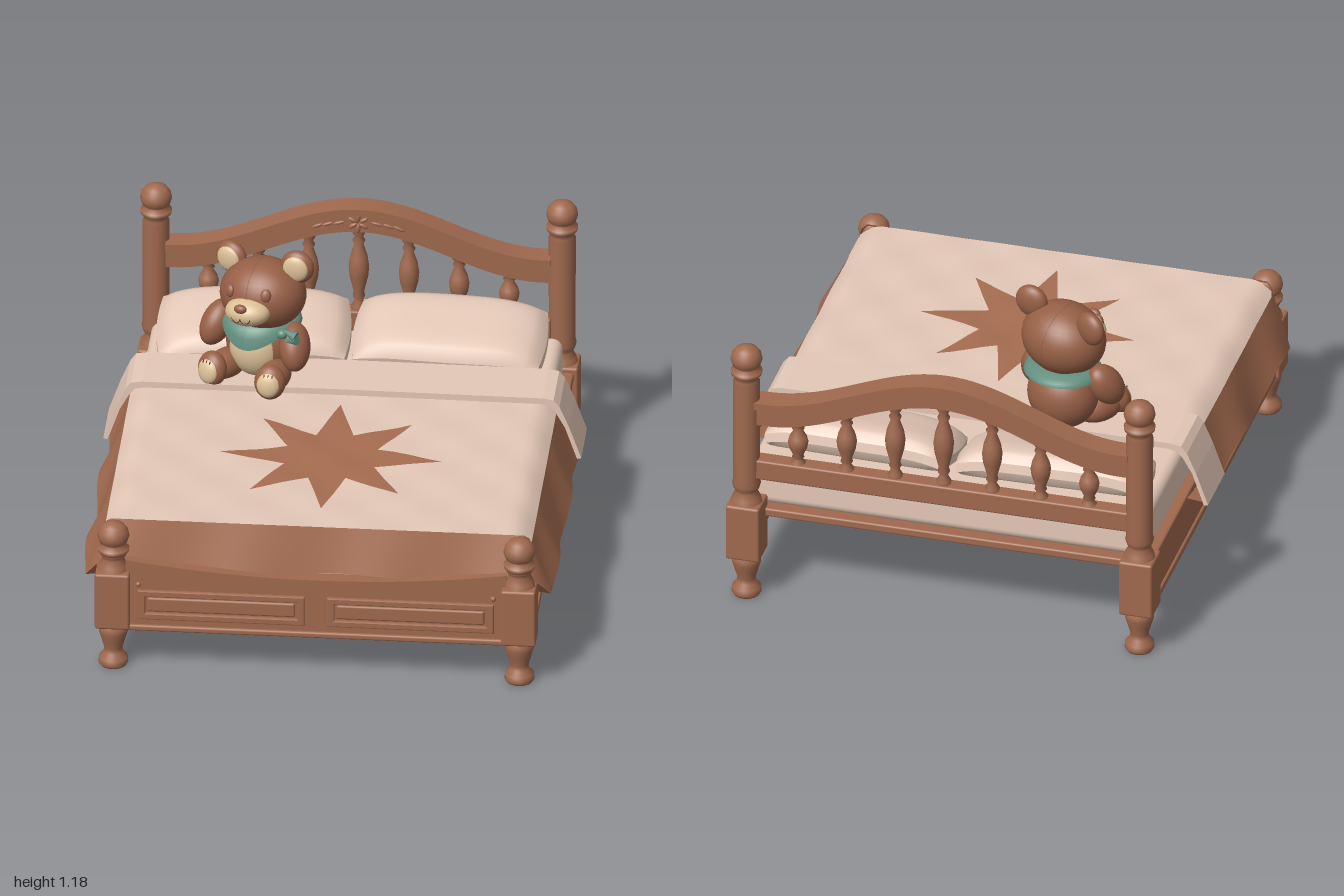
import * as THREE from 'three';
import { RoundedBoxGeometry } from 'three/addons/geometries/RoundedBoxGeometry.js';

const paint = (name, color, side = THREE.FrontSide) => {
  const m = new THREE.MeshStandardMaterial({ color, side });
  m.name = name;
  return m;
};

export function createModel() {
  const root = new THREE.Group();
  root.name = 'bedWithBear';
  const wood = paint('wood', 0xa0694e);
  const linen = paint('linen', 0xe4c8b7, THREE.DoubleSide);
  const quilt = paint('quiltBrown', 0xa66d50, THREE.DoubleSide);
  const fur = paint('fur', 0x965f45);
  const cream = paint('cream', 0xdcc097);
  const teal = paint('scarfTeal', 0x638f7f, THREE.DoubleSide);
  const dark = paint('stitching', 0x5a3727);

  // helpers
  const add = (parent, name, geo, mat, pos = [0, 0, 0], rot = [0, 0, 0]) => {
    const m = new THREE.Mesh(geo, mat);
    m.name = name;
    m.position.set(...pos);
    m.rotation.set(...rot);
    parent.add(m);
    return m;
  };
  const box = (name, size, pos, r = 0.008) =>
    add(root, name, new RoundedBoxGeometry(...size, 2, r), wood, pos);
  const ball = (parent, name, mat, pos, radii, rot) => {
    const m = add(parent, name, new THREE.SphereGeometry(1, 32, 20), mat, pos, rot);
    m.scale.set(...radii);
    return m;
  };
  const lathe = (pts, seg = 28) => new THREE.LatheGeometry(pts.map(p => new THREE.Vector2(...p)), seg);
  const surf = (fn, nu, nv) => {
    const g = new THREE.PlaneGeometry(1, 1, nu, nv);
    const { position, uv } = g.attributes;
    for (let i = 0; i < position.count; i++) position.setXYZ(i, ...fn(uv.getX(i), uv.getY(i)));
    g.computeVertexNormals();
    return g;
  };

  // posts: turned leg, square block, turned top with ball finial
  const leg = lathe([[0, 0], [0.05, 0], [0.058, 0.012], [0.056, 0.035], [0.038, 0.055], [0.036, 0.075],
    [0.046, 0.11], [0.056, 0.145], [0.056, 0.165], [0.045, 0.19]]);
  const finial = y => [[0.05, y - 0.075], [0.06, y - 0.065], [0.062, y - 0.05], [0.04, y - 0.038], [0.054, y - 0.025],
    [0.062, y], [0.057, y + 0.025], [0.042, y + 0.045], [0.02, y + 0.056], [0, y + 0.059]];
  const base = [[0.064, 0.41], [0.055, 0.44], [0.042, 0.465], [0.05, 0.48]];
  const shortTop = lathe([...base, [0.052, 0.485], ...finial(0.562)]);
  const tallTop = lathe([...base, [0.056, 0.5], [0.052, 0.52], [0.053, 0.96], [0.048, 0.97], ...finial(1.06)]);
  for (const x of [-0.79, 0.79]) {
    for (const z of [-0.93, 0.93]) {
      add(root, 'postLeg', leg, wood, [x, 0, z]);
      box('postBlock', [0.135, 0.24, 0.135], [x, 0.3, z], 0.01);
      add(root, 'postTop', z > 0 ? shortTop : tallTop, wood, [x, 0, z]);
    }
    // side rails with moulding
    const s = Math.sign(x);
    box('sideRail', [0.06, 0.22, 1.76], [s * 0.805, 0.29, 0]);
    box('railMoulding', [0.07, 0.03, 1.76], [s * 0.81, 0.198, 0]);
    box('railLip', [0.07, 0.035, 1.76], [s * 0.805, 0.382, 0]);
  }
  // raised bed base, open below and behind
  box('bedBase', [1.56, 0.035, 1.8], [0, 0.355, 0]);

  // footboard with dipped top edge and two framed panels
  const foot = new THREE.Shape();
  foot.moveTo(-0.74, 0.18);
  foot.lineTo(0.74, 0.18);
  foot.lineTo(0.74, 0.47);
  foot.quadraticCurveTo(0, 0.36, -0.74, 0.47);
  add(root, 'footboard', new THREE.ExtrudeGeometry(foot, { depth: 0.06, bevelEnabled: false, curveSegments: 24 }), wood, [0, 0, 0.9]);
  box('footMoulding', [1.48, 0.025, 0.085], [0, 0.18, 0.93]);
  const rect = (p, w, h) => {
    p.moveTo(-w, -h); p.lineTo(w, -h); p.lineTo(w, h); p.lineTo(-w, h); p.closePath();
    return p;
  };
  const frame = rect(new THREE.Shape(), 0.32, 0.058);
  frame.holes.push(rect(new THREE.Path(), 0.3, 0.04));
  const frameGeo = new THREE.ExtrudeGeometry(frame, { depth: 0.008, bevelSize: 0.005, bevelThickness: 0.005, bevelSegments: 2 });
  for (const s of [-1, 1]) {
    add(root, 'panelFrame', frameGeo, wood, [s * 0.368, 0.282, 0.96]);
    box('panelCentre', [0.575, 0.06, 0.016], [s * 0.368, 0.282, 0.96]);
    ball(root, 'peg', wood, [s * 0.69, 0.367, 0.96], [0.011, 0.011, 0.011]);
  }

  // headboard: arched rail with cap, lower rail and spindles
  const arch = x => 0.885 + (Math.abs(x) < 0.72 ? 0.188 * Math.cos(Math.PI * x / 1.44) ** 2 : 0);
  const archBand = (top, bottom, depth) => {
    const pts = [];
    for (let i = 0; i <= 48; i++) pts.push(new THREE.Vector2(-0.75 + i / 32, arch(-0.75 + i / 32) - bottom));
    for (let i = 48; i >= 0; i--) pts.push(new THREE.Vector2(-0.75 + i / 32, arch(-0.75 + i / 32) - top));
    return new THREE.ExtrudeGeometry(new THREE.Shape(pts), { depth, bevelEnabled: false });
  };
  add(root, 'headArch', archBand(0.02, 0.105, 0.07), wood, [0, 0, -0.955]);
  add(root, 'headCap', archBand(0, 0.028, 0.1), wood, [0, 0, -0.97]);
  box('headLowerRail', [1.5, 0.085, 0.07], [0, 0.575, -0.92]);
  for (let i = -3; i <= 3; i++) {
    const h = arch(i * 0.195) - 0.095 - 0.61;
    const prof = [[0.026, 0], [0.03, 0.05], [0.016, 0.12], [0.024, 0.17], [0.02, 0.22], [0.036, 0.4], [0.04, 0.52],
      [0.034, 0.64], [0.018, 0.78], [0.025, 0.83], [0.016, 0.87], [0.028, 0.94], [0.028, 1]].map(([r, t]) => [r, t * h]);
    add(root, 'spindle', lathe(prof, 20), wood, [i * 0.195, 0.61, -0.92]);
  }
  // carved rosette and scrolls
  for (let i = 0; i < 6; i++) {
    const a = i * Math.PI / 3 + Math.PI / 6;
    ball(root, 'rosettePetal', wood, [0.024 * Math.cos(a), 1.008 + 0.024 * Math.sin(a), -0.885], [0.02, 0.009, 0.009], [0, 0, a]);
  }
  for (const s of [-1, 1]) for (const x of [0.075, 0.12, 0.16])
    ball(root, 'carvedLeaf', wood, [s * x, arch(x) - 0.062, -0.885], [0.024, 0.007, 0.007], [0, 0, -s * (0.1 + x * 2)]);

  // mattress and plump pillows leaning on the headboard
  add(root, 'mattress', new RoundedBoxGeometry(1.6, 0.19, 1.74, 4, 0.04), linen, [0, 0.465, 0]);
  const pillow = new THREE.BoxGeometry(0.755, 0.15, 0.38, 28, 6, 20);
  const pp = pillow.attributes.position;
  for (let i = 0; i < pp.count; i++) {
    const u = pp.getX(i) / 0.3775, v = pp.getZ(i) / 0.19;
    const t = Math.sqrt((1 - u ** 4) * (1 - v ** 4));
    pp.setXYZ(i, pp.getX(i) * (1 - 0.05 * v * v), pp.getY(i) * (0.25 + 0.75 * t) - 0.03 * u ** 4, pp.getZ(i) * (1 - 0.09 * u * u));
  }
  pillow.computeVertexNormals();
  for (const s of [-1, 1]) add(root, 'pillow', pillow, linen, [s * 0.382 - 0.006, 0.646, -0.685], [0.25, -s * 0.04, 0]);

  // quilt: light top, brown skirt around three sides, star and turned-down fold
  const top = (x, z) => 0.608 - 0.048 * Math.max(0, (Math.abs(x) - 0.74) / 0.09) ** 2
    + 0.004 * Math.sin(x * 18) * Math.sin(z * 18);
  add(root, 'quiltTop', surf((u, v) => {
    const x = (u - 0.5) * 1.66, z = 0.88 - v * 1.3;
    return [x, top(x, z), z];
  }, 70, 56), linen);
  const rim = new THREE.Path();
  rim.moveTo(0.83, -0.42);
  rim.lineTo(0.83, 0.85);
  rim.absarc(0.8, 0.85, 0.03, 0, Math.PI / 2, false);
  rim.lineTo(-0.8, 0.88);
  rim.absarc(-0.8, 0.85, 0.03, Math.PI / 2, Math.PI, false);
  rim.lineTo(-0.83, -0.42);
  const skirt = (u, d, tuck) => {
    const p = rim.getPointAt(u), t = rim.getTangentAt(u);
    const front = Math.max(0, -t.x);
    const start = 0.56 + 0.048 * front;
    const sideHem = 0.362 + 0.024 * Math.cos((p.y - 0.63) * 11.4);
    const frontHem = 0.425 + 0.025 * (p.x / 0.8) ** 2 + 0.008 * Math.sin(p.x * 12);
    const hem = sideHem + (frontHem - sideHem) * front;
    const out = (d * (0.082 - 0.035 * front) + 0.01 * d * Math.sin((p.y - p.x * front) * 12)) * (1 - tuck);
    return [p.x + t.y * out, start + (hem - start) * d + 0.01 * tuck, p.y - t.x * out];
  };
  add(root, 'quiltSkirt', surf((u, v) => skirt(u, 1 - v, 0), 200, 8), quilt);
  add(root, 'quiltUnderside', surf((u, v) => skirt(u, 1, 1 - v), 200, 2), quilt);
  const starPoint = i => {
    const r = i % 2 ? 0.19 : i % 4 ? 0.41 : 0.43, a = i * Math.PI / 8;
    return [r * Math.sin(a), r * Math.cos(a)];
  };
  add(root, 'quiltStar', surf((u, v) => {
    const i = Math.min(15, Math.floor(u * 16 + 1e-6)), f = u * 16 - i, d = 1 - v;
    const a = starPoint(i), b = starPoint(i + 1);
    const x = d * (a[0] + (b[0] - a[0]) * f), z = 0.305 + d * (a[1] + (b[1] - a[1]) * f);
    return [x, top(x, z) + 0.005, z];
  }, 64, 14), quilt);
  const half = [[0.93, 0.385], [0.882, 0.52], [0.845, 0.605], [0.822, 0.633], [0.78, 0.64]];
  const outer = [...half, [0, 0.643], ...half.map(([x, y]) => [-x, y]).reverse()];
  const inner = outer.map(([x, y]) => [x * 0.982, y > 0.6 ? y - 0.025 : y - 0.004]).reverse();
  const foldShape = new THREE.Shape([...outer, ...inner].map(p => new THREE.Vector2(...p)));
  add(root, 'foldedSheet', new THREE.ExtrudeGeometry(foldShape, { depth: 0.245, bevelEnabled: false }), linen, [0, 0, -0.44]);

  // seated teddy bear
  const bear = new THREE.Group();
  bear.name = 'teddyBear';
  bear.position.set(-0.325, 0.615, -0.36);
  bear.rotation.y = -0.38;
  root.add(bear);
  ball(bear, 'body', fur, [0, 0.14, 0], [0.145, 0.14, 0.128]);
  ball(bear, 'belly', cream, [0, 0.14, 0.06], [0.105, 0.115, 0.085]);
  for (const s of [-1, 1]) {
    ball(bear, 'arm', fur, [s * 0.168, s < 0 ? 0.21 : 0.18, 0.055], [0.06, 0.098, 0.067], [-0.55, 0, s * 0.25]);
    ball(bear, 'leg', fur, [s * 0.105, 0.065, 0.1], [0.062, 0.06, 0.1], [0, s * 0.25, 0]);
    const paw = new THREE.Group();
    paw.name = 'foot';
    paw.position.set(s * 0.125, 0.075, 0.183);
    paw.rotation.set(-0.2, s * 0.2, 0);
    bear.add(paw);
    ball(paw, 'footPad', fur, [0, 0, 0], [0.062, 0.07, 0.045]);
    ball(paw, 'sole', cream, [0, -0.005, 0.025], [0.046, 0.052, 0.026]);
    for (const t of [-1, 0, 1]) ball(paw, 'toeStitch', dark, [t * 0.016, 0.032, 0.041], [0.002, 0.008, 0.004]);
  }

  // head
  const head = new THREE.Group();
  head.name = 'head';
  head.position.set(0.017, 0.37, 0.028);
  head.rotation.z = 0.08;
  bear.add(head);
  ball(head, 'skull', fur, [0, 0, 0], [0.174, 0.142, 0.148]);
  const seam = add(head, 'headSeam', new THREE.TorusGeometry(1, 0.014, 6, 48), fur, [0, 0, 0], [0, Math.PI / 2, 0]);
  seam.scale.set(0.147, 0.141, 0.15);
  ball(head, 'muzzle', cream, [0, -0.02, 0.135], [0.092, 0.056, 0.07]);
  ball(head, 'nose', fur, [0, 0.016, 0.194], [0.027, 0.018, 0.017]);
  for (const s of [-1, 1]) {
    ball(head, 'eye', fur, [s * 0.078, 0.052, 0.122], [0.021, 0.026, 0.014], [-0.3, s * 0.45, 0]);
    add(head, 'mouth', new THREE.TorusGeometry(0.02, 0.002, 6, 16, Math.PI), dark, [s * 0.02, -0.022, 0.201], [0, s * 0.25, Math.PI]);
    ball(head, 'ear', fur, [s * 0.143, 0.118, -0.03], [0.068, 0.068, 0.036], [0, s * 0.15, 0]);
    ball(head, 'innerEar', cream, [s * 0.146, 0.118, -0.008], [0.051, 0.052, 0.02], [0, s * 0.15, 0]);
  }

  // neckerchief, thin behind and pulled to a point in front, knotted at one side
  const scarf = lathe([[0.1, 0.278], [0.138, 0.27], [0.153, 0.258], [0.157, 0.242]], 48);
  const sp = scarf.attributes.position;
  for (let i = 0; i < sp.count; i++) {
    const x = sp.getX(i), y = sp.getY(i), z = sp.getZ(i);
    const w = Math.max(0, z / Math.hypot(x, z)) ** 3;
    sp.setXYZ(i, x, y - w * (0.278 - y) * 1.9, z * (z > 0 ? 1.04 : 0.92));
  }
  scarf.computeVertexNormals();
  add(bear, 'scarf', scarf, teal);
  ball(bear, 'scarfKnot', teal, [0.135, 0.248, 0.1], [0.022, 0.02, 0.02]);
  for (const [x, y, a] of [[0.165, 0.26, -1.9], [0.17, 0.228, -1.2]])
    add(bear, 'scarfTail', new THREE.ConeGeometry(0.022, 0.065, 12), teal, [x, y, 0.102], [0, 0, a + Math.PI]);
  return root;
}
